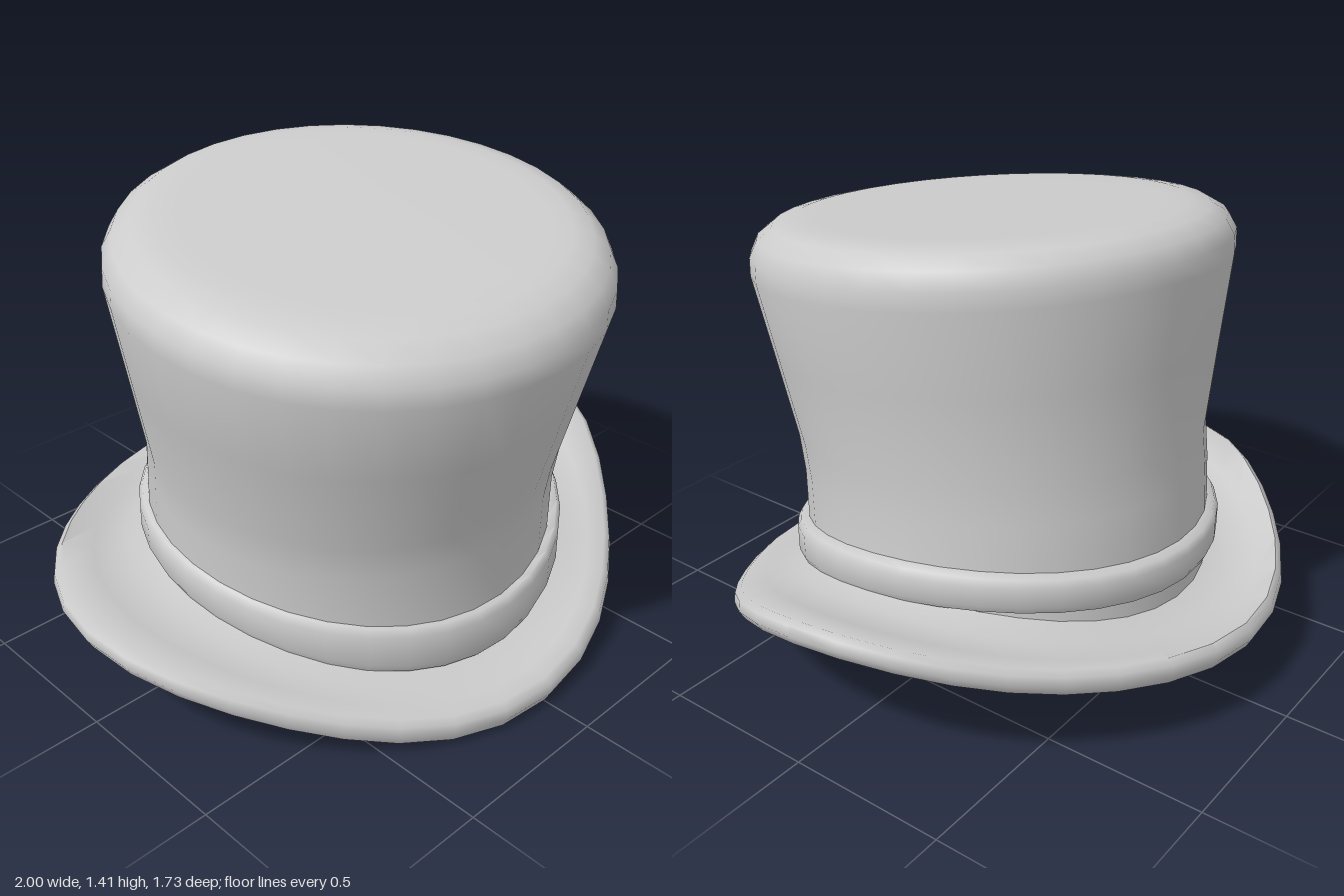
import * as THREE from 'three';
import { toCreasedNormals } from 'three/addons/utils/BufferGeometryUtils.js';

const SEGMENTS = 36;

// A ring with its own height at the left, front, right and back, blended smoothly between.
// pinch draws in the diagonals, dip lowers the left diagonals.
const ring = (cx, cz, rx, rz, [l, f, r, b], pinch = 0, dip = 0) => (a) => {
  const s = Math.sin(2 * a) ** 2;
  const k = 1 - pinch * s;
  const y = (l + f + r + b) / 4 + (l - r) / 2 * Math.cos(a) + (f - b) / 2 * Math.sin(a)
    + (l + r - f - b) / 4 * Math.cos(2 * a) - dip * s * Math.max(0, Math.cos(a));
  return [cx + rx * k * Math.cos(a), y, cz + rz * k * Math.sin(a)];
};

// A round ring on a tilted plane.
const tilted = (cx, cz, r, y, ax, az) =>
  ring(cx, cz, r, r, [y + ax * r, y + az * r, y - ax * r, y - az * r]);

// Skin a list of rings, ordered downwards on the outside.
function loft(name, rings, material) {
  const positions = [], index = [];
  rings.forEach((at, i) => {
    for (let j = 0; j < SEGMENTS; j++) {
      positions.push(...at(j / SEGMENTS * Math.PI * 2));
      if (i === rings.length - 1) continue;
      const a = i * SEGMENTS + j, b = i * SEGMENTS + (j + 1) % SEGMENTS;
      index.push(a, b, a + SEGMENTS, b, b + SEGMENTS, a + SEGMENTS);
    }
  });
  const geometry = new THREE.BufferGeometry();
  geometry.setAttribute('position', new THREE.Float32BufferAttribute(positions, 3));
  geometry.setIndex(index);
  const mesh = new THREE.Mesh(toCreasedNormals(geometry, 1.0), material);
  mesh.name = name;
  return mesh;
}

export function createModel() {
  const felt = new THREE.MeshStandardMaterial({ color: 0xcccccc });
  felt.name = 'grey felt';
  const hat = new THREE.Group();
  hat.name = 'topHat';

  // Crown: leaning flat top, rounded shoulder, flared wall and waist
  hat.add(loft('crown', [
    tilted(-0.03, 0.11, 0, 1.345, 0, 0),
    tilted(-0.032, 0.11, 0.52, 1.345, 0.06, -0.108),
    tilted(-0.036, 0.112, 0.59, 1.343, 0.06, -0.108),
    tilted(-0.044, 0.115, 0.65, 1.33, 0.06, -0.108),
    tilted(-0.051, 0.118, 0.7, 1.295, 0.058, -0.11),
    tilted(-0.056, 0.12, 0.726, 1.245, 0.055, -0.11),
    tilted(-0.057, 0.12, 0.728, 1.19, 0.055, -0.11),
    tilted(-0.041, 0.092, 0.684, 0.94, 0.065, -0.1),
    tilted(-0.022, 0.06, 0.637, 0.67, 0.08, -0.09),
    tilted(-0.015, 0.04, 0.634, 0.56, 0.08, -0.09),
    ring(-0.01, 0.03, 0.637, 0.637, [0.45, 0.27, 0.37, 0.42]),
    ring(0, 0.027, 0.642, 0.642, [0.37, 0.12, 0.27, 0.25]),
  ], felt));

  // Band around the foot of the crown
  hat.add(loft('band', [
    ring(0, 0.025, 0.625, 0.625, [0.49, 0.305, 0.405, 0.455]),
    ring(0, 0.025, 0.658, 0.66, [0.487, 0.3, 0.402, 0.452]),
    ring(0, 0.025, 0.67, 0.672, [0.465, 0.275, 0.38, 0.43]),
    ring(0, 0.025, 0.67, 0.672, [0.4, 0.175, 0.305, 0.365]),
    ring(0, 0.025, 0.658, 0.66, [0.375, 0.145, 0.28, 0.34]),
    ring(0, 0.025, 0.625, 0.625, [0.375, 0.145, 0.28, 0.34]),
  ], felt));

  // Brim swept up at the sides, turning under into the hollow inside
  hat.add(loft('brim', [
    ring(0, 0.027, 0.635, 0.635, [0.39, 0.14, 0.29, 0.27]),
    ring(0, 0.02, 0.72, 0.71, [0.37, 0.11, 0.27, 0.24]),
    ring(0, 0.005, 0.85, 0.785, [0.41, 0.1, 0.295, 0.25], 0.03, 0.025),
    ring(0, -0.003, 0.975, 0.843, [0.465, 0.088, 0.337, 0.267], 0.055, 0.05),
    ring(0, -0.003, 0.995, 0.861, [0.455, 0.07, 0.325, 0.25], 0.055, 0.05),
    ring(0, -0.003, 1, 0.866, [0.425, 0.04, 0.295, 0.22], 0.055, 0.05),
    ring(0, -0.003, 0.982, 0.848, [0.392, 0.006, 0.262, 0.186], 0.055, 0.05),
    ring(0, 0.005, 0.82, 0.74, [0.33, 0.015, 0.225, 0.15], 0.03, 0.03),
    ring(0, 0.02, 0.66, 0.62, [0.28, 0.03, 0.2, 0.13]),
    ring(0, 0.02, 0.615, 0.58, [0.29, 0.06, 0.21, 0.155]),
    ring(0, 0.02, 0.59, 0.56, [0.33, 0.13, 0.26, 0.24]),
    tilted(0, 0.02, 0.535, 0.45, 0.05, -0.1),
    tilted(0, 0.02, 0, 0.45, 0, 0),
  ], felt));

  return hat;
}
